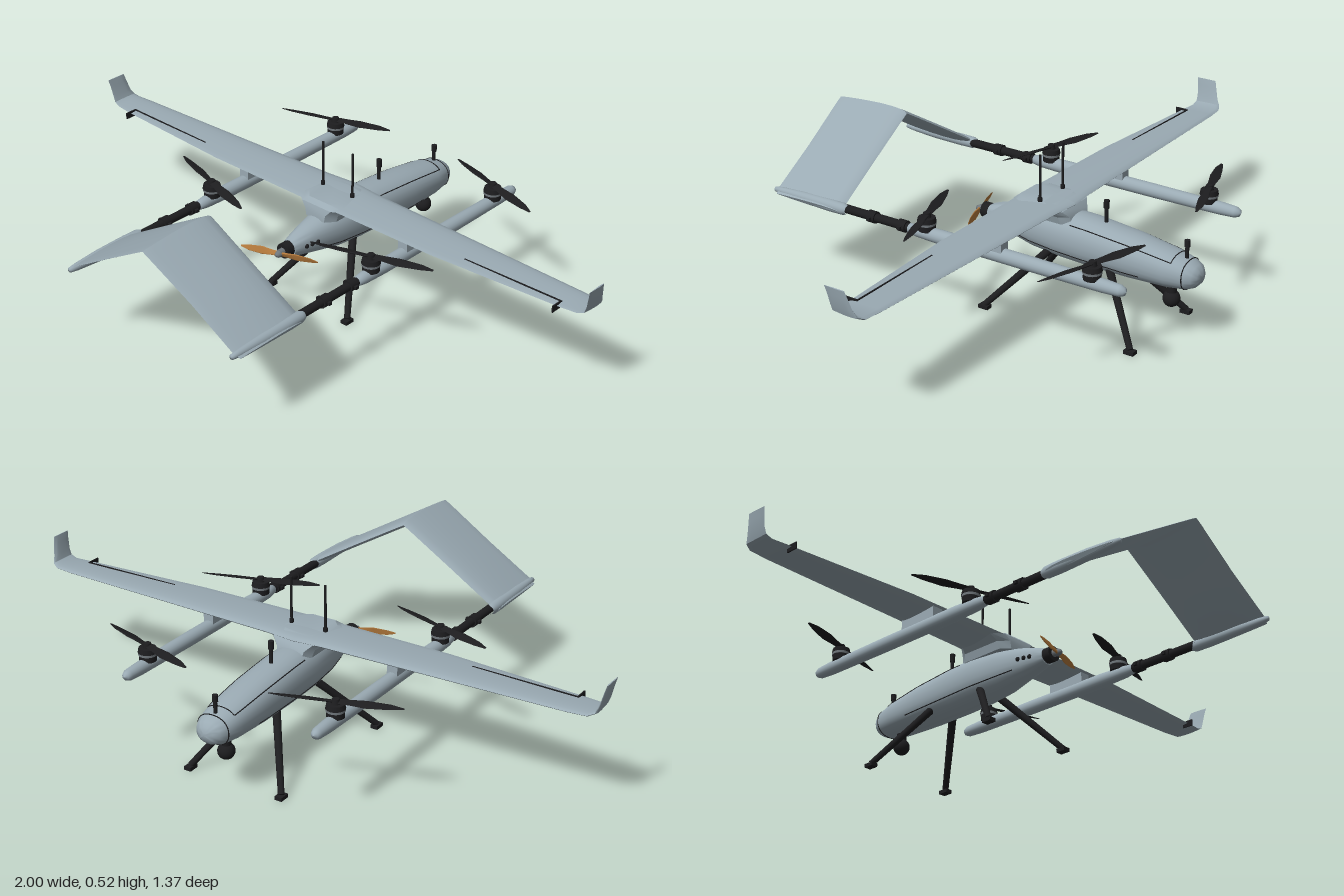
import * as THREE from 'three';
import { toCreasedNormals } from 'three/addons/utils/BufferGeometryUtils.js';

const mat = (name, color) => {
  const m = new THREE.MeshStandardMaterial({ color });
  m.name = name;
  return m;
};

// Skin a list of closed rings of [x, y, z], cap both ends and turn the faces outward.
function loft(rings, crease = 0.7) {
  const n = rings[0].length, pos = rings.flat(2), idx = [];
  for (let i = 0; i < rings.length - 1; i++)
    for (let j = 0; j < n; j++) {
      const a = i * n + j, b = i * n + (j + 1) % n;
      idx.push(a, b, b + n, a, b + n, a + n);
    }
  const last = (rings.length - 1) * n;
  for (let j = 1; j < n - 1; j++) idx.push(0, j + 1, j, last, last + j, last + j + 1);
  const p = i => new THREE.Vector3().fromArray(pos, i * 3);
  let vol = 0;
  for (let i = 0; i < idx.length; i += 3) vol += p(idx[i]).dot(p(idx[i + 1]).cross(p(idx[i + 2])));
  if (vol < 0) idx.reverse();
  const g = new THREE.BufferGeometry();
  g.setAttribute('position', new THREE.Float32BufferAttribute(pos, 3));
  g.setIndex(idx);
  return toCreasedNormals(g, crease);
}

// Aerofoil surface; stations are [x, y, zLead, zTrail, thickness, slope].
function aerofoil(stations, side = 1) {
  const N = 18;
  return loft(stations.map(([x, y, z0, z1, t, s = 0]) =>
    Array.from({ length: N }, (_, j) => {
      const a = j / N * Math.PI * 2, c = (1 - Math.cos(a)) / 2;
      const h = Math.sin(a) * t * 0.5 * (1.25 - c * 0.85);
      return [side * (x - Math.sin(s) * h), y + Math.cos(s) * h, z0 + (z1 - z0) * c];
    })));
}

// Fuselage stations: z, half width, bottom, top.
const BODY = [[-0.683, 0.008, 0.218, 0.232], [-0.677, 0.026, 0.203, 0.248], [-0.665, 0.042, 0.19, 0.26],
  [-0.64, 0.055, 0.18, 0.272], [-0.58, 0.066, 0.173, 0.287], [-0.45, 0.073, 0.168, 0.308],
  [-0.3, 0.075, 0.168, 0.323], [-0.2, 0.074, 0.172, 0.326], [-0.1, 0.064, 0.18, 0.32],
  [0, 0.043, 0.2, 0.298], [0.05, 0.033, 0.211, 0.283], [0.08, 0.027, 0.219, 0.271]];

// Point on the fuselage skin at z and angle a, pushed out by a little.
function skin(z, a, out = 0) {
  let i = 0;
  while (i < BODY.length - 2 && BODY[i + 1][0] < z) i++;
  const A = BODY[i], B = BODY[i + 1], k = (z - A[0]) / (B[0] - A[0]);
  const [, w, lo, hi] = A.map((v, q) => v + (B[q] - v) * k);
  const f = v => Math.sign(v) * Math.abs(v) ** 0.88;
  return [f(Math.cos(a)) * (w + out), (lo + hi) / 2 + f(Math.sin(a)) * ((hi - lo) / 2 + out), z];
}

const lathe = (pts, seg = 20) =>
  new THREE.LatheGeometry(pts.map(p => new THREE.Vector2(...p)), seg);

export function createModel() {
  const root = new THREE.Group();
  const grey = mat('blue grey paint', 0x9aaab3), black = mat('black', 0x1d1d1f);
  const steel = mat('motor grey', 0x70777c), wood = mat('wood', 0xb57a3c);

  const add = (name, geo, m, x = 0, y = 0, z = 0, parent = root) => {
    const mesh = new THREE.Mesh(geo, m);
    mesh.name = name;
    mesh.position.set(x, y, z);
    parent.add(mesh);
    return mesh;
  };
  const rod = (name, a, b, r, m, r2 = r, seg = 12) => {
    const A = new THREE.Vector3(...a), B = new THREE.Vector3(...b), d = B.clone().sub(A);
    const mesh = add(name, new THREE.CylinderGeometry(r2, r, d.length(), seg), m);
    mesh.position.copy(A).add(B).multiplyScalar(0.5);
    mesh.quaternion.setFromUnitVectors(new THREE.Vector3(0, 1, 0), d.normalize());
    return mesh;
  };
  const seam = (name, pts, closed = false) => add(name, new THREE.TubeGeometry(
    new THREE.CatmullRomCurve3(pts.map(p => new THREE.Vector3(...p)), closed), 40, 0.0018, 5, closed), black);

  // Fuselage with nose, hatch and side seams
  add('fuselage', loft(BODY.map(([z]) => Array.from({ length: 28 }, (_, j) => skin(z, j / 28 * Math.PI * 2)))), grey);
  seam('noseSeam', Array.from({ length: 24 }, (_, j) => skin(-0.64, j / 24 * Math.PI * 2)), true);
  seam('hatchFrontSeam', Array.from({ length: 9 }, (_, j) => skin(-0.6, 0.75 + j / 8 * (Math.PI - 1.5))));
  for (const s of [1, -1]) {
    const line = (z0, z1, a) => Array.from({ length: 14 }, (_, j) => {
      const p = skin(z0 + (z1 - z0) * j / 13, a);
      return [p[0] * s, p[1], p[2]];
    });
    seam('hatchSideSeam', line(-0.6, -0.25, 0.75));
    seam('lowerSeam', line(-0.5, -0.03, -0.5));
    for (const z of [-0.006, 0.015, 0.036]) {
      const p = skin(z, 0);
      add('sidePort', new THREE.SphereGeometry(0.008, 10, 8), black, s * (p[0] - 0.002), p[1], z);
    }
  }

  // Pusher engine and wooden propeller
  rod('engine', [0, 0.247, 0.075], [0, 0.247, 0.108], 0.025, black, 0.025, 20);
  rod('engineShaft', [0, 0.247, 0.108], [0, 0.247, 0.125], 0.012, steel);
  const blade = (R, w) => aerofoil([[0, 0, -w * 0.3, w * 0.3, 0.008], [R * 0.2, 0, -w * 0.35, w * 0.35, 0.008],
    [R * 0.45, 0, -w * 0.5, w * 0.5, 0.006], [R * 0.8, 0, -w * 0.4, w * 0.3, 0.004], [R, 0, -w * 0.12, w * 0.08, 0.002]]);
  const propeller = (name, R, w, m) => {
    const g = new THREE.Group();
    g.name = name;
    for (const t of [0, Math.PI]) {
      const b = add('blade', blade(R, w).rotateX(0.22), m, 0, 0, 0, g);
      b.rotation.y = t;
    }
    root.add(g);
    return g;
  };
  const pusher = propeller('pusherPropeller', 0.13, 0.026, wood);
  pusher.position.set(0, 0.245, 0.124);
  pusher.rotation.set(Math.PI / 2, 0, -0.33);
  add('spinner', lathe([[0.012, 0], [0.011, 0.008], [0.007, 0.015], [0, 0.018]]).rotateX(Math.PI / 2), steel, 0, 0.245, 0.122);

  // Wing mount on the fuselage
  add('wingMount', loft([[0.3, 0.062, -0.25, -0.04], [0.325, 0.07, -0.245, -0.04], [0.345, 0.1, -0.23, -0.045],
    [0.358, 0.07, -0.2, -0.06]].map(([y, w, z0, z1]) =>
    [[-w * 0.7, y, z0], [w * 0.7, y, z0], [w, y, z0 + 0.03], [w, y, z1 - 0.03], [w * 0.6, y, z1], [-w * 0.6, y, z1],
      [-w, y, z1 - 0.03], [-w, y, z0 + 0.03]]), 0.5), grey);

  for (const s of [1, -1]) {
    // Wing half with upturned tip
    add('wing', aerofoil([[0, 0.347, -0.235, -0.05, 0.026], [0.1, 0.347, -0.225, -0.052, 0.024],
      [0.45, 0.346, -0.213, -0.055, 0.02], [0.9, 0.345, -0.198, -0.085, 0.014], [0.96, 0.346, -0.193, -0.092, 0.012, 0.15],
      [0.98, 0.355, -0.184, -0.094, 0.01, 0.8], [0.987, 0.375, -0.172, -0.094, 0.008, 1.25],
      [0.994, 0.41, -0.162, -0.09, 0.007, 1.35], [0.999, 0.434, -0.155, -0.085, 0.004, 1.35]], s), grey);
    const gap = add('aileronGap', new THREE.BoxGeometry(0.35, 0.003, 0.004), black, s * 0.72, 0.3505, -0.104);
    gap.rotation.y = s * 0.02;
    add('aileronHorn', new THREE.BoxGeometry(0.004, 0.022, 0.04), black, s * 0.892, 0.342, -0.085);

    // Lift boom, saddle and carbon tail tube
    add('boom', lathe([[0, -0.625], [0.012, -0.619], [0.018, -0.605], [0.021, -0.55], [0.023, -0.3], [0.023, 0.02],
      [0.02, 0.11], [0.015, 0.145], [0, 0.147]]).rotateX(Math.PI / 2), grey, s * 0.335, 0.295, 0);
    add('boomSaddle', new THREE.BoxGeometry(0.036, 0.045, 0.14), grey, s * 0.335, 0.322, -0.135);
    rod('tailTube', [s * 0.335, 0.296, 0.13], [s * 0.335, 0.296, 0.42], 0.014, black);
    for (const z of [0.17, 0.288]) {
      rod('tubeClamp', [s * 0.335, 0.296, z - 0.015], [s * 0.335, 0.296, z + 0.015], 0.019, black);
      add('clampBolts', new THREE.BoxGeometry(0.052, 0.01, 0.012), black, s * 0.335, 0.296, z);
    }

    // Tail pod and sloping tail panel meeting at the apex
    add('tailPod', lathe([[0.014, 0.385], [0.019, 0.4], [0.02, 0.45], [0.018, 0.56], [0.012, 0.65], [0.008, 0.678],
      [0, 0.68]]).rotateX(Math.PI / 2), grey, s * 0.34, 0.295, 0);
    const a = -0.536;
    add('tailPanel', aerofoil([[0, 0.502, 0.412, 0.685, 0.03], [0.02, 0.491, 0.411, 0.684, 0.026, a],
      [0.18, 0.396, 0.406, 0.672, 0.026, a], [0.34, 0.3, 0.4, 0.668, 0.026, a], [0.358, 0.289, 0.405, 0.66, 0.02, a]], s), grey);

    // Lift motors and propellers
    for (const [z, f] of [[-0.51, 1], [0.08, -1]]) {
      const x = s * 0.335;
      rod('motorBase', [x, 0.306, z], [x, 0.325, z], 0.027, black, 0.027, 20);
      rod('motorBand', [x, 0.325, z], [x, 0.333, z], 0.029, steel, 0.029, 20);
      rod('motorTop', [x, 0.333, z], [x, 0.348, z], 0.03, black, 0.027, 20);
      rod('propellerHub', [x, 0.348, z], [x, 0.363, z], 0.014, black, 0.011, 16);
      const p = propeller('liftPropeller', 0.198, 0.034, black);
      p.position.set(x, 0.355, z);
      p.rotation.y = -s * f * 0.31;
    }

    // Splayed landing legs with feet
    for (const [z0, z1] of [[-0.4, -0.54], [-0.155, -0.01]]) {
      rod('landingLeg', [s * 0.045, 0.195, z0 + (z0 - z1) * 0.1], [s * 0.165, 0.012, z1], 0.013, black, 0.01);
      add('foot', new THREE.BoxGeometry(0.024, 0.012, 0.034), black, s * 0.165, 0.006, z1);
    }

    // Whip aerials on the wing
    rod('aerialBase', [s * 0.062, 0.35, -0.145], [s * 0.062, 0.37, -0.145], 0.007, black);
    rod('whipAerial', [s * 0.062, 0.36, -0.145], [s * 0.062, 0.51, -0.145], 0.004, black);
  }

  // Camera ball under the nose
  rod('cameraMount', [0, 0.185, -0.58], [0, 0.145, -0.58], 0.016, black, 0.016, 18);
  add('cameraBall', new THREE.SphereGeometry(0.027, 22, 16), black, 0, 0.129, -0.58);

  // Aerials on the fuselage back
  for (const [y, z, h] of [[0.315, -0.345, 0.075], [0.272, -0.627, 0.06]]) {
    rod('backAerial', [0, y, z], [0, y + h * 0.7, z], 0.006, black);
    rod('backAerialCap', [0, y + h * 0.65, z], [0, y + h, z], 0.009, black);
  }
  return root;
}
